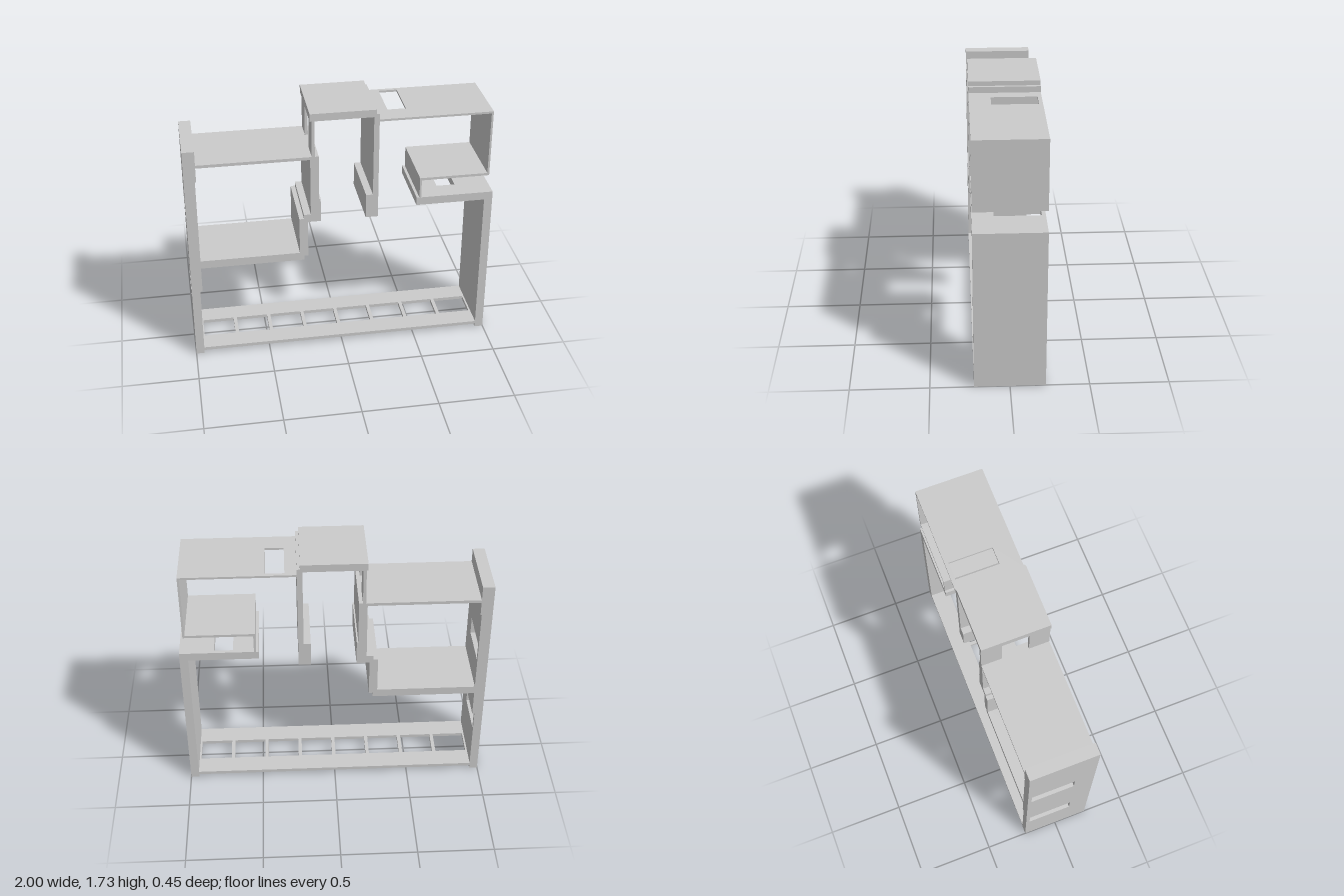
import * as THREE from 'three';

const D = 0.225; // half depth shared by every panel
const material = new THREE.MeshStandardMaterial({ color: 0xcccccc, flatShading: true });

function rect(Type, a0, a1, b0, b1) {
  const r = new Type();
  r.moveTo(a0, b0);
  r.lineTo(a1, b0);
  r.lineTo(a1, b1);
  r.lineTo(a0, b1);
  r.closePath();
  return r;
}

export function createModel() {
  const model = new THREE.Group();

  const add = (name, geometry) => {
    const mesh = new THREE.Mesh(geometry, material);
    mesh.name = name;
    model.add(mesh);
  };

  // Solid panel, full depth unless z limits are given
  const panel = (name, x0, x1, y0, y1, z0 = -D, z1 = D) => {
    const g = new THREE.BoxGeometry(x1 - x0, y1 - y0, z1 - z0);
    g.translate((x0 + x1) / 2, (y0 + y1) / 2, (z0 + z1) / 2);
    add(name, g);
  };

  // Horizontal slab with openings given as [x0, x1, z0, z1]
  const slab = (name, x0, x1, y0, y1, holes) => {
    const s = rect(THREE.Shape, x0, x1, -D, D);
    for (const [a, b, c, d] of holes) s.holes.push(rect(THREE.Path, a, b, -d, -c));
    const g = new THREE.ExtrudeGeometry(s, { depth: y1 - y0, bevelEnabled: false });
    g.rotateX(-Math.PI / 2);
    g.translate(0, y0, 0);
    add(name, g);
  };

  // Upright wall with openings given as [z0, z1, y0, y1]
  const wall = (name, x0, x1, y0, y1, holes) => {
    const s = rect(THREE.Shape, -D, D, y0, y1);
    for (const [a, b, c, d] of holes) s.holes.push(rect(THREE.Path, -b, -a, c, d));
    const g = new THREE.ExtrudeGeometry(s, { depth: x1 - x0, bevelEnabled: false });
    g.rotateY(Math.PI / 2);
    g.translate(x0, 0, 0);
    add(name, g);
  };

  // Tall side wall, stepping thicker towards the top, with two windows
  wall('tallWallLower', -1, -0.945, 0, 0.5, [[-0.2, 0.09, 0.355, 0.48]]);
  wall('tallWallMiddle', -1, -0.93, 0.5, 1.32, [[-0.2, 0.09, 0.95, 1.07]]);
  panel('tallWallTop', -1, -0.922, 1.32, 1.53);

  // Rooms beside the tall wall
  panel('upperShelf', -0.93, -0.19, 1.415, 1.435);
  panel('roomFloor', -0.93, -0.25, 0.68, 0.735);
  panel('stepRiser', -0.28, -0.225, 0.71, 0.99);
  panel('stepTread', -0.25, -0.14, 0.965, 1.02);
  panel('towerWallFoot', -0.205, -0.14, 1.02, 1.13);
  panel('towerWall', -0.205, -0.15, 1.13, 1.435);

  // Two posts leave an opening below the tower roof
  for (const [z0, z1] of [[-D, -0.09], [0.09, D]]) {
    panel('towerPost', -0.195, -0.175, 1.435, 1.68, z0, z1);
  }
  panel('towerRoof', -0.205, 0.215, 1.68, 1.73);
  panel('centreWall', 0.2, 0.235, 0.965, 1.70);
  panel('centreWallFoot', 0.155, 0.2, 0.965, 1.13);

  // Thin folded room on the other side
  slab('thinRoof', 0.235, 0.967, 1.647, 1.661, [[0.31, 0.43, -0.2, 0.09]]);
  panel('thinOuterWall', 0.954, 0.967, 1.205, 1.647);
  panel('thinFloor', 0.508, 0.954, 1.205, 1.222);
  panel('thinSupport', 0.508, 0.52, 1.08, 1.205);

  // Ledge and its supporting wall
  slab('ledge', 0.49, 1, 1.025, 1.08, [[0.655, 0.777, -0.2, 0.09]]);
  panel('ledgeWall', 0.945, 1, 0, 1.025);

  // Base with a ladder of eight openings
  const pitch = 1.89 / 8;
  const openings = [];
  for (let i = 0; i < 8; i++) {
    const x = -0.945 + i * pitch;
    openings.push([x + 0.012, x + pitch - 0.012, -0.09, 0.09]);
  }
  slab('ladderBase', -0.945, 0.945, 0.023, 0.045, openings);

  return model;
}
